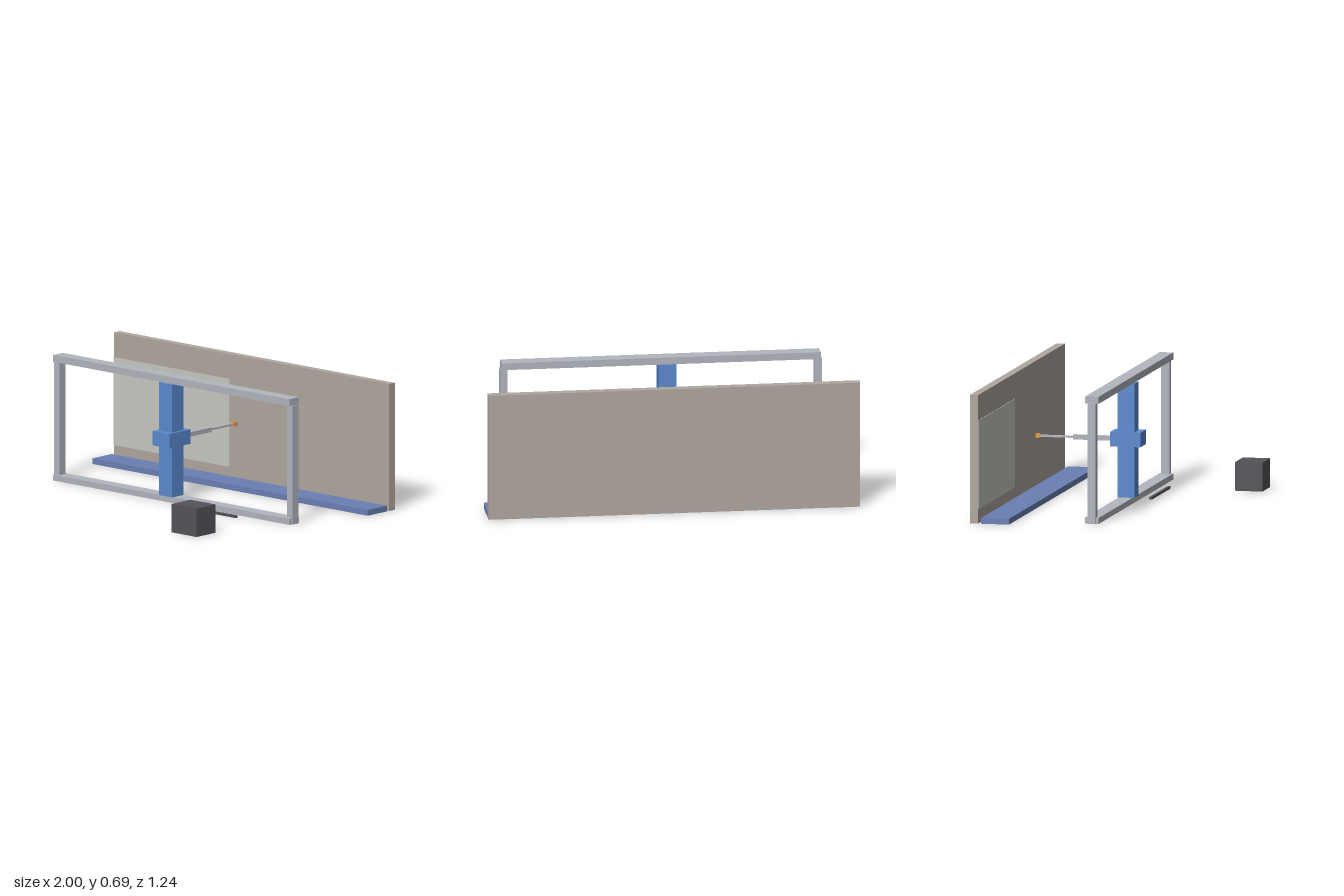
import * as THREE from 'three';

const paint = (color) => new THREE.MeshStandardMaterial({ color });

export function createModel() {
  const model = new THREE.Group();
  const frameGrey = paint(0xb2b6be), blue = paint(0x5c8ad0), deckBlue = paint(0x6a80b4);
  const stone = paint(0xb0a8a0), plaster = paint(0xc8c8c2), dark = paint(0x55545a);
  const rodGrey = paint(0xbcb4c0), orange = paint(0xe09a40);

  // Box given by its extents along each axis
  function block(name, material, [x0, x1], [y0, y1], [z0, z1], parent = model) {
    const mesh = new THREE.Mesh(new THREE.BoxGeometry(x1 - x0, y1 - y0, z1 - z0), material);
    mesh.position.set((x0 + x1) / 2, (y0 + y1) / 2, (z0 + z1) / 2);
    mesh.name = name;
    parent.add(mesh);
    return mesh;
  }

  // Wall with a thin finished area, and the walkway at its foot
  block('wall', stone, [-1, 1], [0, 0.693], [-0.622, -0.577]);
  block('finishedArea', plaster, [-1, -0.157], [0.078, 0.557], [-0.577, -0.574]);
  block('walkway', deckBlue, [-1, 1], [0, 0.031], [-0.56, -0.407]);

  // Rectangular frame: two rails and two posts
  const frame = new THREE.Group();
  frame.name = 'frame';
  model.add(frame);
  block('bottomRail', frameGrey, [-0.861, 0.857], [0, 0.032], [-0.021, 0.053], frame);
  block('topRail', frameGrey, [-0.861, 0.857], [0.648, 0.686], [-0.021, 0.053], frame);
  block('rightPost', frameGrey, [-0.869, -0.828], [0, 0.648], [-0.007, 0.039], frame);
  block('leftPost', frameGrey, [0.824, 0.865], [0, 0.648], [-0.007, 0.039], frame);

  // Sliding column with carriage
  block('column', blue, [-0.083, 0.012], [0.032, 0.648], [-0.028, 0.063]);
  block('carriage', blue, [-0.096, 0.028], [0.308, 0.386], [-0.067, 0.1]);

  // Telescopic arm reaching towards the wall
  const arm = new THREE.Group();
  arm.name = 'arm';
  arm.position.set(-0.034, 0.344, 0);
  model.add(arm);
  const stages = [
    ['armSleeve', frameGrey, 0.0125, -0.283, -0.067],
    ['armRod', rodGrey, 0.0055, -0.468, -0.283],
    ['toolTip', orange, 0.0115, -0.49, -0.468],
  ];
  for (const [name, material, r, z0, z1] of stages) {
    block(name, material, [-r, r], [-r, r], [z0, z1], arm);
  }

  // Floor items in front of the frame
  block('floorBar', dark, [0.09, 0.523], [0, 0.013], [0.102, 0.117]);
  block('controlBox', dark, [0.524, 0.705], [0, 0.155], [0.472, 0.622]);

  return model;
}
